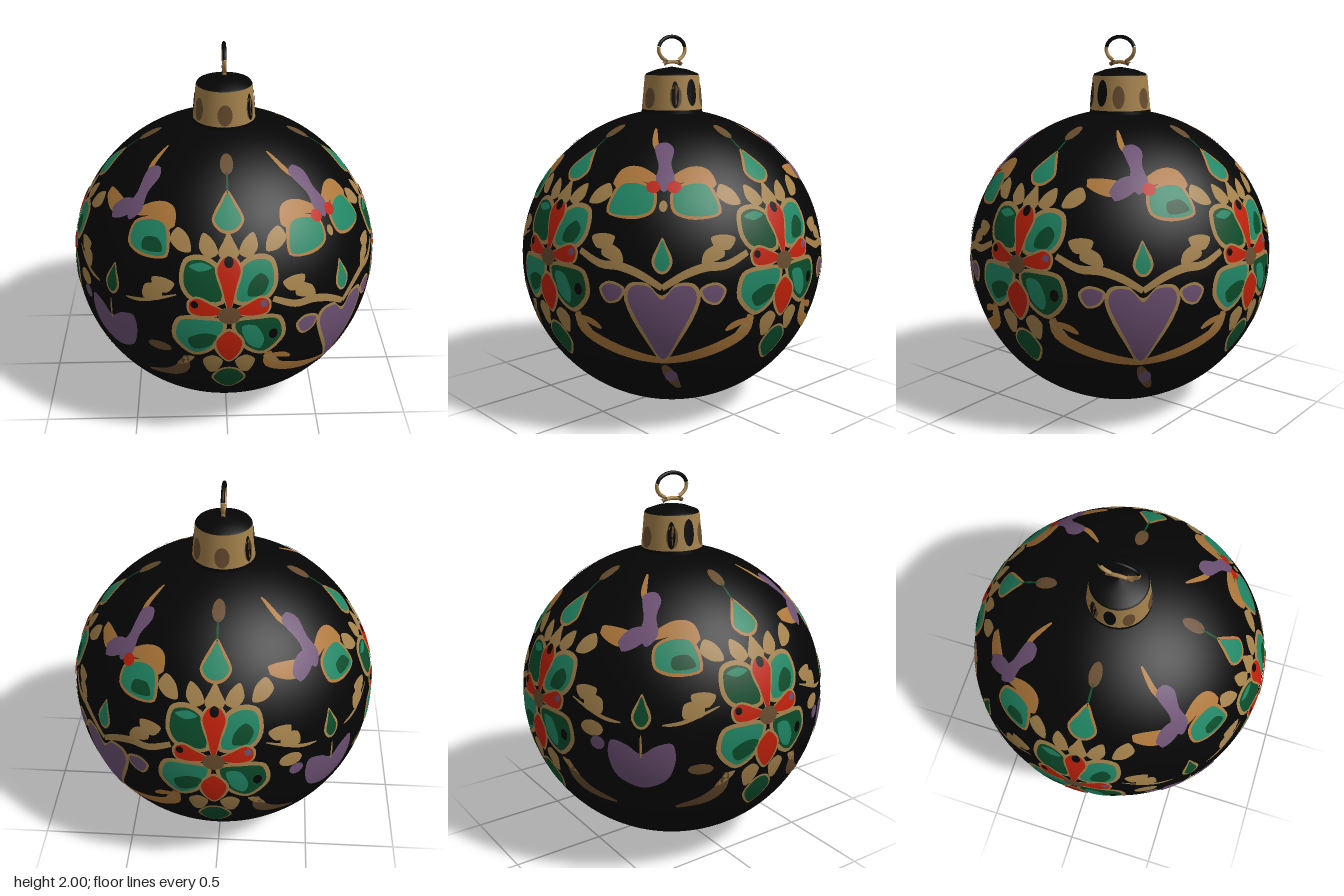
import * as THREE from 'three';

const mat = (name, color) => Object.assign(new THREE.MeshStandardMaterial({ color }), { name });
const black = mat('black', 0x050505), tan = mat('tan gold', 0xa3814b), orange = mat('orange gold', 0xac7639);
const brown = mat('brown', 0x674b2e), green = mat('light green', 0x208564), dark = mat('dark green', 0x0b4b2a);
const red = mat('red', 0xbe2009), purple = mat('purple', 0x6c5072);

// Ball: an ellipsoid whose upper half is slightly flatter
const R = 0.825, CY = 0.815;
const half = (y) => (y > CY ? 0.79 : CY);
const radiusAt = (y) => R * Math.sqrt(Math.max(0, 1 - ((y - CY) / half(y)) ** 2));

// Wraps a flat point onto the ball's +z side, lifted by a thin paint layer
function wrap(x, y, layer) {
  const z = Math.sqrt(Math.max(0, radiusAt(y) ** 2 - x * x));
  const n = new THREE.Vector3(x, (y - CY) * (R / half(y)) ** 2, z).normalize();
  return { p: new THREE.Vector3(x, y, z).addScaledVector(n, layer * 0.0018), n };
}

// Halves a flat triangle at its longest edge until it is small enough to follow the curve
function split(a, b, c, out) {
  const ab = a.distanceTo(b), bc = b.distanceTo(c), ca = c.distanceTo(a);
  const longest = Math.max(ab, bc, ca);
  if (longest < 0.055) {
    out.push(a, b, c);
    return;
  }
  const [p, q, r] = longest === ab ? [a, b, c] : longest === bc ? [b, c, a] : [c, a, b];
  const mid = p.clone().add(q).multiplyScalar(0.5);
  split(p, mid, r, out);
  split(mid, q, r, out);
}

function plate(group, name, outline, material, layer) {
  const pts = outline.slice();
  if (THREE.ShapeUtils.isClockWise(pts)) pts.reverse();
  const tris = [], pos = [], nor = [];
  for (const [i, j, k] of THREE.ShapeUtils.triangulateShape(pts, [])) split(pts[i], pts[j], pts[k], tris);
  for (const t of tris) {
    const { p, n } = wrap(t.x, t.y, layer);
    pos.push(p.x, p.y, p.z);
    nor.push(n.x, n.y, n.z);
  }
  const g = new THREE.BufferGeometry();
  g.setAttribute('position', new THREE.Float32BufferAttribute(pos, 3));
  g.setAttribute('normal', new THREE.Float32BufferAttribute(nor, 3));
  const mesh = new THREE.Mesh(g, material);
  mesh.name = name;
  group.add(mesh);
}

// Smooth closed patch, optionally with a wider rim below it
function patch(group, name, pts, material, layer = 2, rim = null, w = 0.02) {
  const curve = new THREE.CatmullRomCurve3(pts.map(([x, y]) => new THREE.Vector3(x, y, 0)), true, 'catmullrom', 0.45);
  const line = curve.getPoints(pts.length * 4).slice(0, -1).map((p) => new THREE.Vector2(p.x, p.y));
  plate(group, name, line, material, layer);
  if (!rim) return;
  const c = line.reduce((s, p) => s.add(p), new THREE.Vector2()).divideScalar(line.length);
  plate(group, name + 'Rim', line.map((p) => p.clone().add(p.clone().sub(c).setLength(w))), rim, layer - 1);
}

// Tapered brush stroke along a path
function stroke(group, name, pts, width, material, layer = 1, taper = 0.7) {
  const curve = new THREE.SplineCurve(pts.map(([x, y]) => new THREE.Vector2(x, y)));
  const a = [], b = [];
  for (let i = 0; i <= 16; i++) {
    const t = i / 16, p = curve.getPoint(t), d = curve.getTangent(t);
    const w = (width / 2) * (1 - taper + taper * Math.sin(Math.PI * t));
    a.push(new THREE.Vector2(p.x - d.y * w, p.y + d.x * w));
    b.unshift(new THREE.Vector2(p.x + d.y * w, p.y - d.x * w));
  }
  plate(group, name, a.concat(b), material, layer);
}

const flip = (pts, s) => pts.map(([x, y]) => [x * s, y]);
const drop = (x, y, w, h) => [[x, y + h], [x + w * 0.5, y + h * 0.4], [x + w, y - h * 0.35], [x + w * 0.6, y - h * 0.85],
  [x, y - h], [x - w * 0.6, y - h * 0.85], [x - w, y - h * 0.35], [x - w * 0.5, y + h * 0.4]];
const oval = (x, y, w, h) => Array.from({ length: 8 }, (_, i) => [x + w * Math.sin((i * Math.PI) / 4), y + h * Math.cos((i * Math.PI) / 4)]);

// Large four-petal flower with drops and leaves
function flower() {
  const g = new THREE.Group();
  g.name = 'flowerMotif';
  const upper = [[0.04, 0.99], [0.06, 1.13], [0.13, 1.17], [0.2, 1.15], [0.215, 1.06], [0.17, 1.0]];
  const lower = [[0.03, 0.87], [0.14, 0.885], [0.235, 0.87], [0.255, 0.77], [0.17, 0.685], [0.08, 0.74]];
  for (const s of [1, -1]) {
    patch(g, 'upperPetal', flip(upper, s), s > 0 ? green : dark, 2, tan, 0.022);
    patch(g, 'lowerPetal', flip(lower, s), s > 0 ? dark : green, 2, tan, 0.022);
    patch(g, 'sideRedPetal', flip([[0.02, 0.93], [0.11, 0.91], [0.18, 0.92], [0.19, 0.97], [0.15, 0.995], [0.09, 0.97]], s), red, 4, tan, 0.012);
    patch(g, 'petalSpot', oval(s * 0.165, 0.965, 0.018, 0.018), s > 0 ? purple : black, 5);
    patch(g, 'topLeaf', flip([[0.05, 1.2], [0.07, 1.25], [0.12, 1.28], [0.14, 1.22], [0.1, 1.18]], s), tan, 1);
    patch(g, 'outerTopLeaf', flip([[0.18, 1.2], [0.19, 1.26], [0.24, 1.29], [0.28, 1.24], [0.24, 1.2]], s), tan, 1);
    patch(g, 'sideLeaf', flip([[0.26, 1.05], [0.31, 1.07], [0.37, 1.06], [0.36, 1.01], [0.3, 1.0]], s), tan, 1);
    patch(g, 'lowLeaf', flip([[0.03, 0.63], [0.08, 0.67], [0.13, 0.63], [0.1, 0.54], [0.06, 0.55]], s), tan, 1);
    patch(g, 'outerLowLeaf', flip([[0.17, 0.65], [0.22, 0.64], [0.26, 0.57], [0.2, 0.6]], s), tan, 1);
  }
  patch(g, 'upperPetalShade', [[0.09, 1.01], [0.1, 1.07], [0.15, 1.11], [0.19, 1.07], [0.16, 1.01]], dark, 3);
  patch(g, 'upperPetalLight', [[-0.08, 1.14], [-0.13, 1.16], [-0.19, 1.14], [-0.14, 1.12]], green, 3);
  patch(g, 'lowerPetalShade', [[-0.06, 0.8], [-0.13, 0.81], [-0.2, 0.77], [-0.17, 0.71], [-0.09, 0.74]], dark, 3);
  patch(g, 'lowerPetalLight', [[0.06, 0.85], [0.13, 0.85], [0.17, 0.77], [0.15, 0.71], [0.09, 0.75]], green, 3);
  patch(g, 'lowerPetalGap', oval(0.215, 0.79, 0.022, 0.03), black, 3);
  patch(g, 'topRedPetal', [[0, 0.94], [0.035, 1.06], [0.055, 1.13], [0.025, 1.18], [-0.025, 1.18], [-0.055, 1.13], [-0.035, 1.06]], red, 4, tan, 0.012);
  patch(g, 'topPetalSpot', oval(0, 1.165, 0.022, 0.025), black, 5);
  patch(g, 'bottomRedPetal', [[0, 0.83], [0.06, 0.77], [0.05, 0.7], [0, 0.64], [-0.05, 0.7], [-0.06, 0.77]], red, 4, tan, 0.014);
  patch(g, 'flowerHeart', oval(0, 0.915, 0.055, 0.045), brown, 5);
  patch(g, 'crownBud', drop(0, 1.225, 0.05, 0.06), tan, 1);
  patch(g, 'upperDrop', drop(0, 1.355, 0.065, 0.065), green, 2, orange, 0.013);
  stroke(g, 'upperStem', [[0, 1.42], [0, 1.49]], 0.012, dark);
  patch(g, 'topBud', oval(0, 1.51, 0.033, 0.03), brown, 1);
  patch(g, 'lowerDrop', [[0, 0.57], [0.045, 0.55], [0.075, 0.48], [0, 0.39], [-0.075, 0.48], [-0.045, 0.55]], dark, 2, tan, 0.012);
  return g;
}

// Full heart with vine, bow-shaped arc and tail
function fullHeart(g) {
  const heart = [[0, 0.775], [0.06, 0.835], [0.14, 0.835], [0.16, 0.76], [0.075, 0.58], [0, 0.45], [-0.075, 0.58], [-0.16, 0.76], [-0.14, 0.835], [-0.06, 0.835]];
  patch(g, 'heart', heart, purple, 3, tan, 0.02);
  for (const s of [1, -1]) {
    stroke(g, 'vine', flip([[0.4, 0.98], [0.3, 0.93], [0.2, 0.925], [0.1, 0.89], [0, 0.83]], s), 0.042, tan, 1, 0.3);
    patch(g, 'vineLeaf', flip([[0.19, 0.94], [0.2, 1.0], [0.27, 1.03], [0.29, 0.97]], s), tan, 1);
    patch(g, 'sideBud', flip([[0.19, 0.82], [0.25, 0.84], [0.29, 0.81], [0.26, 0.755], [0.21, 0.77]], s), purple, 3, tan, 0.013);
    stroke(g, 'arc', flip([[0.42, 0.67], [0.39, 0.58], [0.27, 0.51], [0.12, 0.46], [-0.02, 0.435]], s), 0.06, orange, 1, 0.5);
    stroke(g, 'arcBarb', flip([[0.42, 0.65], [0.35, 0.63], [0.3, 0.6]], s), 0.035, orange, 1);
  }
  stroke(g, 'tail', [[0, 0.41], [0.03, 0.34], [0.07, 0.24]], 0.06, brown, 1);
  patch(g, 'tailBud', oval(0.035, 0.335, 0.032, 0.04), purple, 2);
}

// Worn heart with broken vine and arcs
function wornHeart(g) {
  const heart = [[0, 0.77], [0.07, 0.815], [0.15, 0.83], [0.165, 0.74], [0.12, 0.63], [0, 0.575], [-0.12, 0.63], [-0.165, 0.74], [-0.15, 0.83], [-0.07, 0.815]];
  patch(g, 'heart', heart, purple, 3);
  stroke(g, 'notchLine', [[0, 0.75], [0, 0.87]], 0.012, tan, 4);
  for (const s of [1, -1]) {
    patch(g, 'wornLeaf', flip([[0.2, 0.95], [0.2, 1.02], [0.28, 1.03], [0.29, 0.96]], s), tan, 1);
    stroke(g, 'wornVine', flip([[0.1, 0.92], [0.2, 0.935], [0.36, 1.0]], s), 0.02, tan);
    stroke(g, 'wornArc', flip([[0.4, 0.65], [0.37, 0.56], [0.29, 0.49], [0.15, 0.445]], s), 0.06, brown, 1, 0.75);
  }
  patch(g, 'sideBud', oval(-0.22, 0.8, 0.038, 0.035), purple, 2);
  patch(g, 'budLeaf', oval(-0.25, 0.87, 0.06, 0.04), tan, 1);
  patch(g, 'wornSpot', oval(0.28, 0.685, 0.06, 0.03), brown, 1);
}

// Sprig above the heart: two green petals when full, one when worn
function sprig(g, worn, berries) {
  const body = [[0, 1.26], [0.05, 1.31], [0.03, 1.38], [0.04, 1.44], [0, 1.47], [-0.055, 1.45], [-0.03, 1.37], [-0.04, 1.31]];
  patch(g, 'sprigBody', body, purple, 3);
  const petal = [[0.05, 1.26], [0.13, 1.295], [0.21, 1.28], [0.26, 1.17], [0.15, 1.155], [0.06, 1.18]];
  for (const s of worn ? [1] : [1, -1]) {
    patch(g, 'sprigPetal', flip(petal, s), green, 2, orange, 0.015);
    stroke(g, 'sprigLeaf', flip([[0.02, 1.3], [0.11, 1.335], [0.19, 1.33], [0.24, 1.28]], s), 0.065, orange, 1, 0.6);
  }
  for (const s of berries) patch(g, 'sprigBerry', oval(s * 0.05, 1.28, 0.034, 0.026), red, 4);
  stroke(g, 'sprigTip', [[-0.03, 1.43], [-0.055, 1.47], [-0.06, 1.53]], 0.03, orange, 1);
  if (worn) {
    patch(g, 'sprigShade', [[0.14, 1.17], [0.13, 1.22], [0.2, 1.23], [0.24, 1.18]], dark, 3);
    stroke(g, 'sprigArm', [[0, 1.32], [-0.07, 1.29], [-0.13, 1.25]], 0.08, purple, 3, 0.5);
    stroke(g, 'sprigLeaf', [[-0.04, 1.29], [-0.14, 1.29], [-0.24, 1.31]], 0.075, orange, 1, 0.6);
  } else {
    patch(g, 'sprigDot', oval(0, 1.2, 0.02, 0.025), tan, 1);
  }
}

export function createModel() {
  const root = new THREE.Group();
  root.name = 'ornament';
  const add = (name, geometry, material, parent = root) => {
    const m = new THREE.Mesh(geometry, material);
    m.name = name;
    parent.add(m);
    return m;
  };
  const profile = Array.from({ length: 65 }, (_, i) => {
    const a = -Math.PI / 2 + (i / 64) * Math.PI, s = Math.sin(a);
    return new THREE.Vector2(Math.max(0, R * Math.cos(a)), CY + s * half(CY + s));
  });
  add('ball', new THREE.LatheGeometry(profile, 128), black);

  // Painted motifs around the ball; the two on the right keep the full heart
  const berrySides = [[1, -1], [1], [], []];
  berrySides.forEach((berries, i) => {
    const f = flower();
    f.rotation.y = (i * Math.PI) / 2;
    const h = new THREE.Group();
    h.name = 'heartMotif';
    h.rotation.y = Math.PI / 4 + (i * Math.PI) / 2;
    (i < 2 ? fullHeart : wornHeart)(h);
    patch(h, 'greenBud', drop(0, 0.98, 0.036, 0.07), i < 2 ? green : dark, 3, tan, 0.014);
    sprig(h, i > 0, berries);
    root.add(f, h);
  });

  // Cap with rounded worn patches and a dark domed lid
  const cap = new THREE.Group();
  cap.name = 'cap';
  root.add(cap);
  const capR = (y) => 0.166 - ((y - 1.58) / 0.21) * 0.02;
  const band = (name, y0, y1, m) =>
    (add(name, new THREE.CylinderGeometry(capR(y1), capR(y0), y1 - y0, 48, 1, true), m, cap).position.y = (y0 + y1) / 2);
  band('capFoot', 1.58, 1.608, black);
  band('capSide', 1.608, 1.79, tan);
  const capPatch = (name, az, w, y, h, m) => {
    const g = new THREE.CircleGeometry(1, 24), p = g.attributes.position;
    for (let i = 0; i < p.count; i++) {
      const a = az + p.getX(i) * w, py = y + p.getY(i) * h, r = capR(py) + 0.003;
      p.setXYZ(i, r * Math.sin(a), py, r * Math.cos(a));
    }
    g.computeVertexNormals();
    add(name, g, m, cap);
  };
  for (const az of [0, Math.PI]) {
    capPatch('capBrownPatch', az, 0.24, 1.67, 0.055, brown);
    capPatch('capDarkStreak', az + 0.95, 0.13, 1.69, 0.07, black);
  }
  for (const az of [Math.PI / 2, -Math.PI / 2]) {
    capPatch('capDarkPatch', az, 0.2, 1.7, 0.07, black);
    for (const s of [-1, 1]) capPatch('capSideStreak', az + s * 0.6, 0.2, 1.68, 0.06, brown);
  }
  const lid = [[0.146, 1.785], [0.138, 1.797], [0.08, 1.818], [0, 1.832]].map(([x, y]) => new THREE.Vector2(x, y));
  add('capLid', new THREE.LatheGeometry(lid, 48), black, cap);

  // Hanging loop: dark arch, gold lower ends and feet
  const loop = new THREE.Group();
  loop.name = 'hangingLoop';
  root.add(loop);
  const tube = (name, pts, r, m) =>
    add(name, new THREE.TubeGeometry(new THREE.CatmullRomCurve3(pts.map(([z, y]) => new THREE.Vector3(0, y, z))), 32, r, 10), m, loop);
  const arc = (a, b) => Array.from({ length: 9 }, (_, i) => {
    const t = a + ((b - a) * i) / 8;
    return [0.094 * Math.cos(t), 1.924 + 0.066 * Math.sin(t)];
  });
  tube('loopArch', arc(0.2, Math.PI - 0.2), 0.01, black);
  for (const s of [1, -1]) {
    tube('loopEnd', arc(0.2, -1.1).map(([z, y]) => [z * s, y]), 0.01, tan);
    tube('loopFoot', [[s * 0.042, 1.868], [s * 0.045, 1.855], [s * 0.065, 1.845]], 0.011, brown);
  }
  tube('loopBar', [[-0.06, 1.85], [0, 1.858], [0.06, 1.85]], 0.01, tan);
  return root;
}
